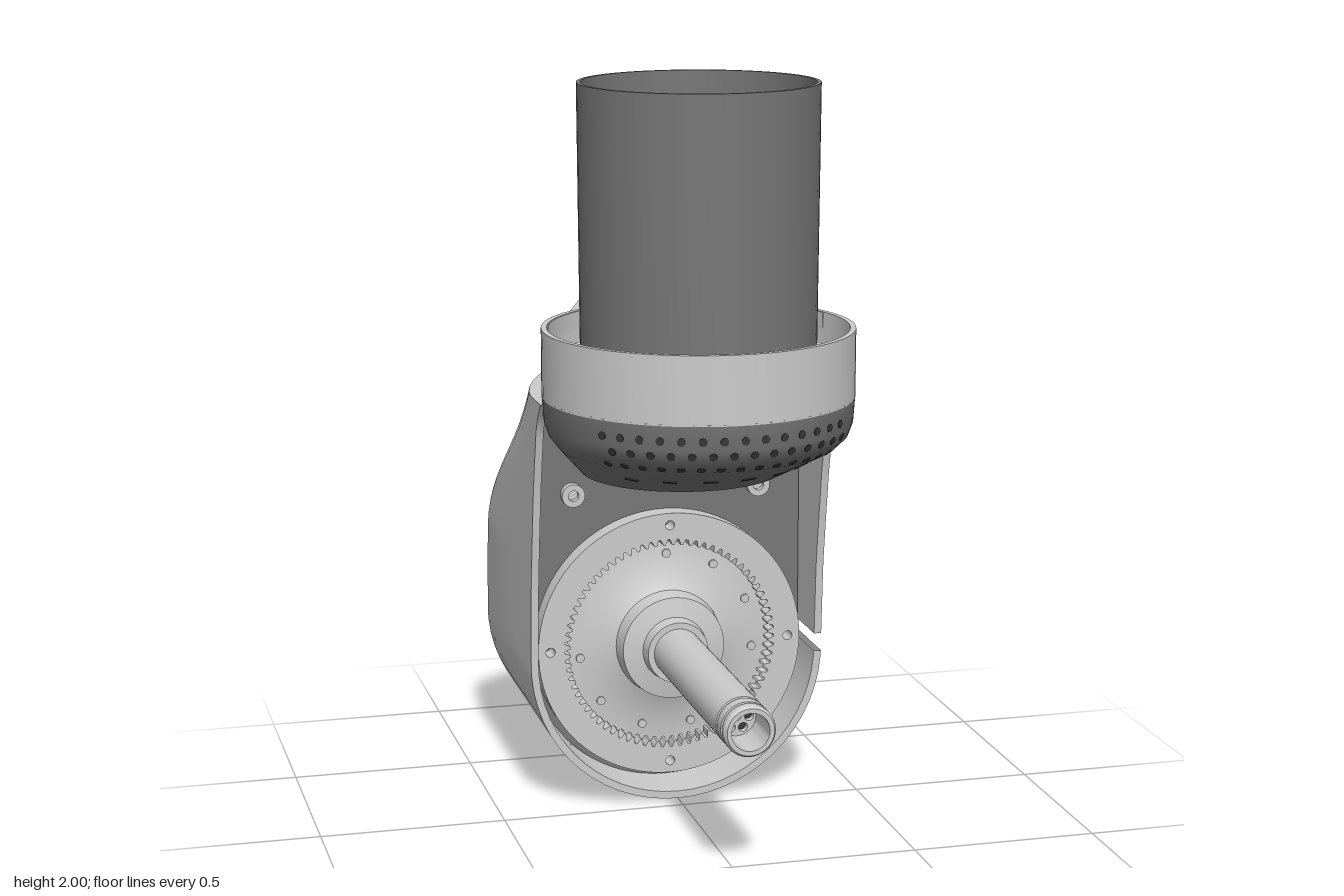
import * as THREE from 'three';
import { toCreasedNormals, mergeGeometries } from 'three/addons/utils/BufferGeometryUtils.js';

const mat = (color) => new THREE.MeshStandardMaterial({ color, side: THREE.DoubleSide });
const LIGHT = mat(0xcccccc), DARK = mat(0x777777), BLACK = mat(0x3a3a3a);
const CZ = 0.157, R = 0.41, AX = 0.42; // column centre z, body radius, axle height

// Linear interpolation in a table of [key, value] pairs
function lookup(table, k) {
  for (let i = 1; i < table.length; i++) {
    const [a, va] = table[i - 1], [b, vb] = table[i];
    if (k <= b) return va + (vb - va) * Math.max(0, (k - a) / (b - a));
  }
  return table[table.length - 1][1];
}
const backZ = (y) => lookup([[0, -0.666], [0.42, -0.665], [0.55, -0.658], [0.68, -0.645], [0.8, -0.622], [0.92, -0.586], [1.05, -0.54], [1.165, -0.487]], y);
const frontZ = (y) => lookup([[0, -0.056], [0.44, -0.056], [0.65, -0.043], [0.8, -0.02], [0.92, 0], [1.1, 0.045], [1.165, 0.1]], y);

// Skin over rows of points; loops are closed, skip(i, j) leaves openings
function skin(rows, skip = () => false) {
  const n = rows[0].length, idx = [];
  for (let i = 0; i < rows.length - 1; i++) for (let j = 0; j < n; j++) {
    if (skip(i, j)) continue;
    const a = i * n + j, b = i * n + (j + 1) % n;
    idx.push(a, a + n, b, b, a + n, b + n);
  }
  const g = new THREE.BufferGeometry();
  g.setAttribute('position', new THREE.Float32BufferAttribute(rows.flat(2), 3));
  g.setIndex(idx);
  return toCreasedNormals(g, 0.6);
}
const lathe = (pts, seg = 64, start = 0, length = Math.PI * 2) =>
  toCreasedNormals(new THREE.LatheGeometry(pts.map((p) => new THREE.Vector2(...p)), seg, start, length), 0.5);
const circle = (C, x, y, r) => new C().absarc(x, y, r, 0, Math.PI * 2, false);
const extrude = (shape, depth, curveSegments = 24) => new THREE.ExtrudeGeometry(shape, { depth, bevelEnabled: false, curveSegments });
const polygon = (pts) => new THREE.Shape(pts.map((p) => new THREE.Vector2(...p)));
const polar = (r, a) => [r * Math.cos(a), r * Math.sin(a)];

// Outline of the arm at height y, from left front edge round the back;
// the back corners grow into long rounded chamfers towards the top
function armSection(y) {
  const w = y < R ? Math.sqrt(R * R - (R - y) ** 2) : R;
  const zf = frontZ(y), zb = backZ(y);
  const s = THREE.MathUtils.smoothstep(y, 0.66, 1.165);
  const rz = (0.8 * s + 0.002) * (zf - zb), rx = (0.6 * s + 0.002) * w, zs = zb + rz;
  const half = [[w, y, zf], [w, y, Math.max(-0.27, (zf + zs) / 2)]];
  for (let k = 0; k <= 8; k++) {
    const [c, d] = polar(1, k / 8 * Math.PI / 2).map((v) => Math.max(v, 0) ** (1 + 0.3 * s));
    half.push([w - rx + rx * c, y, zs - rz * d]);
  }
  // the underside rises slightly to the back
  for (const p of half) p[1] += 0.02 * Math.max(0, 1 - y / R) * (zf - p[2]) / (zf - zb);
  return [...half, ...half.map(([x, yy, z]) => [-x, yy, z]).reverse()];
}

export function createModel() {
  const model = new THREE.Group();
  const add = (name, geo, material, x = 0, y = 0, z = 0) => {
    const m = new THREE.Mesh(geo, material);
    m.name = name;
    m.position.set(x, y, z);
    model.add(m);
    return m;
  };

  // Hollow column
  add('columnTube', lathe([[0.308, 1.2], [0.314, 2], [0.303, 2], [0.303, 1.78], [0.29, 1.78], [0.29, 1.7]]), DARK, 0, 0, CZ);
  add('columnFloor', new THREE.CircleGeometry(0.308, 48).rotateX(-Math.PI / 2), DARK, 0, 1.25, CZ);

  // Spoked plate inside the column
  const plate = circle(THREE.Shape, 0, 0, 0.3);
  plate.holes.push(circle(THREE.Path, 0, 0, 0.11), circle(THREE.Path, 0.2, 0.03, 0.045), circle(THREE.Path, 0.15, 0.14, 0.05));
  add('columnPlate', extrude(plate, 0.02).rotateX(-Math.PI / 2), DARK, 0, 1.69, CZ);
  const fittings = [lathe([[0.125, 1.7], [0.125, 1.76], [0.11, 1.76], [0.11, 1.6]], 40)];
  for (const deg of [-90, -45, 0, 73, 110, 180, 196, 225, -20]) {
    const a = deg * Math.PI / 180;
    fittings.push(toCreasedNormals(new THREE.BoxGeometry(0.13, 0.03, 0.014).translate(0.18, 1.725, 0).rotateY(a)));
    const [x, z] = polar(0.26, -a);
    fittings.push(lathe([[0.035, 1.7], [0.035, 1.75], [0.018, 1.75], [0.018, 1.7]], 20).translate(x, 0, z));
  }
  add('columnFittings', mergeGeometries(fittings), DARK, 0, 0, CZ);

  // Collar with a recessed ledge; its back part is undercut by the pockets
  const rim = [[R, 1.365], [0.395, 1.365], [0.39, 1.275], [0.378, 1.275], [0.378, 1.285], [0.31, 1.285]];
  const A = 1.86;
  add('collarFront', lathe([[0.392, 1.165], [0.392, 1.185], [R, 1.185], ...rim], 48, -A, 2 * A), LIGHT, 0, 0, CZ);
  add('collarBack', lathe([[0.397, 1.165], [0.397, 1.33], [R, 1.33], ...rim], 32, A, 2 * (Math.PI - A)), LIGHT, 0, 0, CZ);
  for (let k = 0; k < 4; k++) {
    const [x, z] = polar(0.34, k * Math.PI / 2);
    add('collarScrew', new THREE.CylinderGeometry(0.012, 0.012, 0.006, 16), LIGHT, x, 1.286, CZ + z);
  }

  // Sloping underside of the collar: rings of [y, radius, centre z]
  const rings = [[0.945, 0.27, -0.02], [1.055, 0.37, 0.14], [1.085, 0.393, 0.155], [1.12, 0.405, CZ], [1.19, R, CZ]];
  const ringPoint = (y, a) => {
    const r = lookup(rings, y), z = lookup(rings.map((q) => [q[0], q[2]]), y);
    return new THREE.Vector3(r * Math.sin(a), y, z + r * Math.cos(a));
  };
  const capRows = rings.map(([y]) => Array.from({ length: 64 }, (_, k) => ringPoint(y, k / 32 * Math.PI).toArray())).reverse();
  add('collarUnderside', skin(capRows), DARK);
  add('undersideFloor', new THREE.CircleGeometry(0.27, 64).rotateX(Math.PI / 2), DARK, 0, 0.945, -0.02);

  // Flush vent holes round the front of the underside
  const vents = [], zAxis = new THREE.Vector3(0, 0, 1);
  [1.145, 1.105, 1.065, 1.0].forEach((y, row) => {
    const n = row === 3 ? 6 : 14;
    for (let k = 0; k < n; k++) {
      const a = ((k + (row % 2) * 0.5) / (n - 0.5) - 0.5) * 1.8;
      const at = ringPoint(y, a);
      const along = ringPoint(y, a + 0.01).sub(ringPoint(y, a - 0.01));
      const up = ringPoint(y + 0.008, a).sub(ringPoint(y - 0.008, a));
      const normal = along.cross(up).normalize();
      const g = row === 3 ? new THREE.BoxGeometry(0.035, 0.02, 0.004) : new THREE.CylinderGeometry(0.011, 0.011, 0.004, 10).rotateX(Math.PI / 2);
      g.applyQuaternion(new THREE.Quaternion().setFromUnitVectors(zAxis, normal));
      vents.push(g.translate(...at.toArray()));
    }
  });
  add('undersideVents', mergeGeometries(vents), BLACK);

  // Arm shell: round at the bottom, curved back, with a slot in the left wall
  const ys = [];
  for (let k = 0; k <= 14; k++) ys.push(R - R * Math.cos(k / 14 * 1.49));
  const slotRow = ys.push(0.395, 0.445) - 2;
  for (let k = 0; k <= 16; k++) ys.push(0.5 + k / 16 * 0.665);
  const shellRows = ys.map((y) => {
    const outer = armSection(y);
    const inner = outer.map(([x, yy, z]) => [x * 0.95, yy < R ? R + (yy - R) * 0.95 : yy, frontZ(y) + (z - frontZ(y)) * 0.96]);
    return [...outer, ...inner.reverse()];
  });
  add('armShell', skin(shellRows, (i, j) => i === slotRow && (j === 0 || j >= 42)), LIGHT);

  // Shelf on top of the arm, and the neck joining it to the collar
  const shelf = polygon(armSection(1.165).map(([x, , z]) => [x, -z]));
  add('armShelf', new THREE.ShapeGeometry(shelf).rotateX(-Math.PI / 2), LIGHT, 0, 1.165, 0);
  const neck = (name, r, y, h) => {
    const arc = (radius, from) => Array.from({ length: 25 }, (_, k) => {
      const [c, s] = polar(radius, from + (Math.PI / 2 - from) * k / 24);
      return [c, s - CZ];
    });
    const side = [...arc(0.392, 0.3).reverse(), ...arc(r, 0.3).filter((q) => q[0] > 0.27), [0.21, 0.32]];
    const shape = polygon([...side, ...side.slice(1).map(([x, v]) => [-x, v]).reverse()]);
    add(name, toCreasedNormals(extrude(shape, h).rotateX(-Math.PI / 2), 0.4), LIGHT, 0, y, 0);
  };
  neck('neckWall', 0.398, 1.165, 0.165);
  neck('neckRoof', 0.409, 1.33, 0.034);

  // Ribs between the pockets behind the neck
  const mainRib = polygon([[-0.03, 1.165], [0.19, 1.165], [0.14, 1.245], [0.065, 1.32], [0.01, 1.35], [-0.03, 1.362]]);
  const sideRib = polygon([[-0.07, 1.165], [0.075, 1.165], [0.02, 1.25], [-0.045, 1.335], [-0.07, 1.335]]);
  for (const s of [1, -1]) {
    add('mainRib', extrude(mainRib, 0.02).translate(0, 0, -0.01).rotateY(Math.PI / 2), LIGHT, s * 0.2, 0, -0.3).rotation.y = s * 0.2;
    add('sideRib', extrude(sideRib, 0.015).translate(0, 0, -0.007).rotateY(Math.PI / 2), LIGHT, s * 0.3, 0, -0.26);
  }

  // Perforated grille that follows the curved back
  const grille = circle(THREE.Shape, 0, 0, 0.388);
  for (let ring = 1; ring <= 8; ring++) {
    const n = ring * 5 + 2;
    for (let k = 0; k < n; k++) {
      const [x, y] = polar(ring * 0.044, k / n * Math.PI * 2 + ring * 0.3);
      grille.holes.push(circle(THREE.Path, x, y, 0.014));
    }
  }
  const grilleGeo = extrude(grille, 0.006, 10).translate(0, R, -0.008);
  const p = grilleGeo.attributes.position;
  for (let i = 0; i < p.count; i++) p.setZ(i, p.getZ(i) + backZ(p.getY(i)));
  grilleGeo.computeVertexNormals();
  add('backGrille', grilleGeo, DARK);
  add('grilleTab', new THREE.BoxGeometry(0.14, 0.025, 0.02), DARK, 0, 0.805, backZ(0.805));

  // Inner panel with two bolts
  const panel = new THREE.Shape().moveTo(0.385, R).lineTo(0.385, 0.95).lineTo(0.34, 1.1).lineTo(-0.34, 1.1).lineTo(-0.385, 0.95).lineTo(-0.385, R);
  panel.absarc(0, R, 0.385, Math.PI, Math.PI * 2, false);
  add('innerPanel', extrude(panel, 0.02), DARK, 0, 0, -0.22);
  for (const s of [1, -1]) {
    add('panelBolt', lathe([[0, 0.005], [0.015, 0.005], [0.015, 0.025], [0.032, 0.025], [0.032, 0]], 24).rotateX(Math.PI / 2), LIGHT, s * 0.262, 0.848, -0.2);
  }

  // Toothed ring round a recessed disc with a raised hub
  const ringShape = circle(THREE.Shape, 0, 0, 0.372);
  const teeth = [];
  for (let k = 0; k < 288; k++) teeth.push(new THREE.Vector2(...polar(k % 4 < 2 ? 0.298 : 0.282, k / 144 * Math.PI)));
  ringShape.holes.push(new THREE.Path(teeth));
  for (let k = 0; k < 4; k++) ringShape.holes.push(circle(THREE.Path, ...polar(0.338, k * Math.PI / 2), 0.013));
  add('toothedRing', extrude(ringShape, 0.06, 48), LIGHT, 0, AX, -0.2);
  add('wheelDisc', lathe([[0.3, 0.012], [0.22, 0.014], [0.15, 0.045], [0.143, 0.1], [0.09, 0.11], [0.085, 0.15], [0.06, 0.15]]).rotateX(Math.PI / 2), LIGHT, 0, AX, -0.2);
  for (let k = 0; k < 9; k++) {
    const [x, y] = polar(0.248, Math.PI / 2 - k * Math.PI * 2 / 11);
    add('discStud', new THREE.CylinderGeometry(0.012, 0.012, 0.01, 14).rotateX(Math.PI / 2), LIGHT, x, AX + y, -0.185);
  }

  // Grooved hollow axle with a spoked insert
  const axle = [[0.068, -0.18]];
  for (const z of [0.59, 0.635]) axle.push([0.068, z - 0.006], [0.062, z - 0.005], [0.062, z + 0.005], [0.068, z + 0.006]);
  axle.push([0.068, 0.66], [0.062, 0.67], [0.05, 0.67], [0.05, 0.5]);
  add('axle', lathe(axle, 40).rotateX(Math.PI / 2), LIGHT, 0, AX, 0);
  const insert = circle(THREE.Shape, 0, 0, 0.05);
  for (let k = 0; k < 6; k++) insert.holes.push(circle(THREE.Path, ...polar(0.032, k * Math.PI / 3), 0.012));
  insert.holes.push(circle(THREE.Path, 0, 0, 0.01));
  add('axleInsert', extrude(insert, 0.02, 16), LIGHT, 0, AX, 0.52);
  add('axlePlug', new THREE.CircleGeometry(0.05, 24), BLACK, 0, AX, 0.51);

  return model;
}
